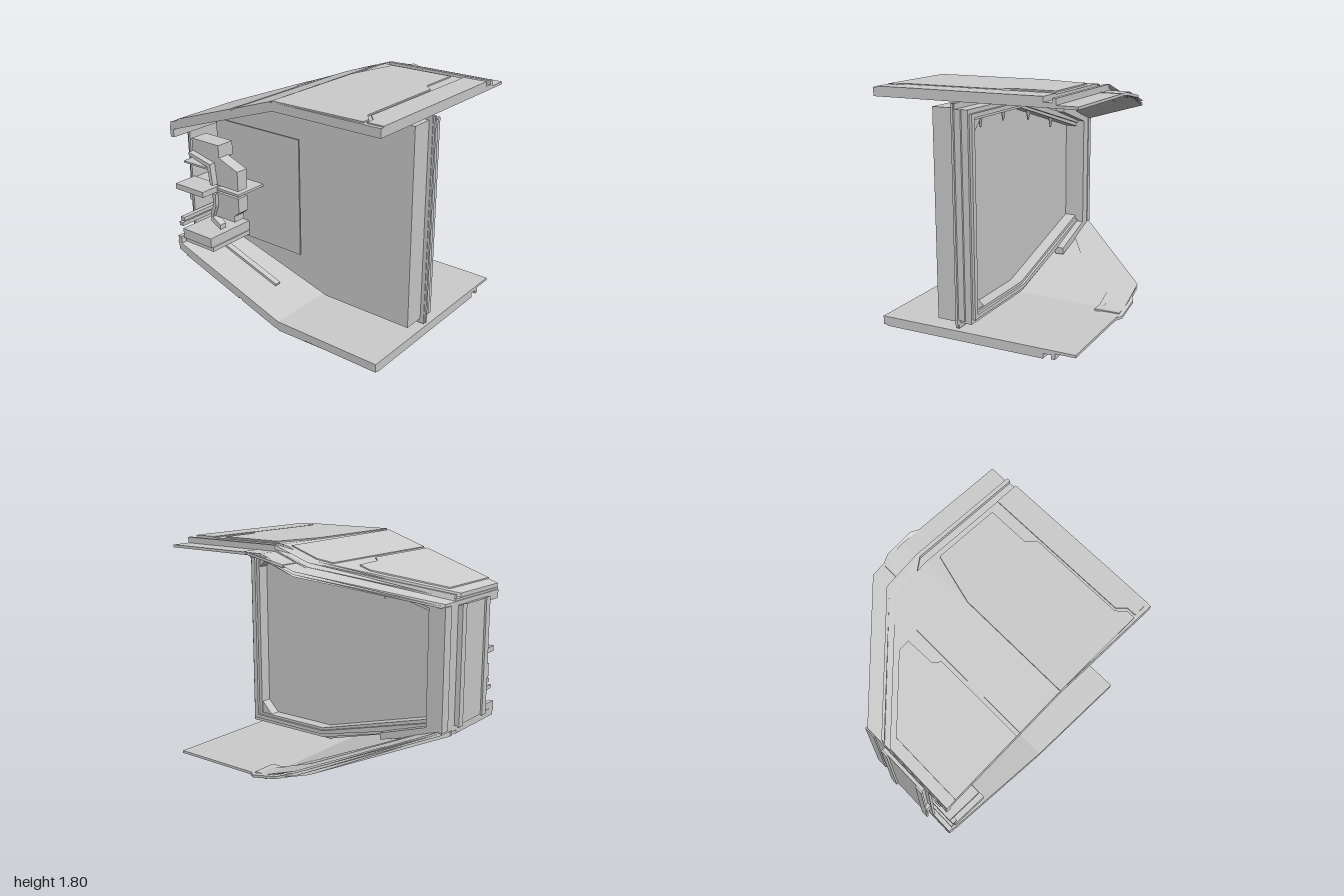
import * as THREE from 'three';

const mat = new THREE.MeshStandardMaterial({ color: 0xcccccc, side: THREE.DoubleSide });
const SLOPE = 0.335, RIDGE = 0.1, KNEE = -0.2;
const drop = x => Math.max(0, RIDGE - x) * SLOPE;   // fall of the roof towards -x
const cut = x => Math.max(0, KNEE - x);             // 45 degree cut of the rear corner

function add(group, name, geo) {
  const m = new THREE.Mesh(geo, mat);
  m.name = name;
  group.add(m);
  return m;
}

function box(group, name, x0, x1, y0, y1, z0, z1) {
  const m = add(group, name, new THREE.BoxGeometry(x1 - x0, y1 - y0, z1 - z0));
  m.position.set((x0 + x1) / 2, (y0 + y1) / 2, (z0 + z1) / 2);
  return m;
}

const shapeOf = pts => new THREE.Shape(pts.map(p => new THREE.Vector2(...p)));

// Outline in x, y extruded from z0 to z1
function slab(group, name, pts, z0, z1, hole) {
  const s = shapeOf(pts);
  if (hole) s.holes.push(new THREE.Path(hole.map(p => new THREE.Vector2(...p))));
  const g = new THREE.ExtrudeGeometry(s, { depth: z1 - z0, bevelEnabled: false });
  g.translate(0, 0, z0);
  return add(group, name, g);
}

// Folded sheet following the roof line, with the rear corner cut off
function layer(group, name, { x0, x1 = 1, y, t, back, width }) {
  const xs = [x0, KNEE, RIDGE, x1];
  const low = xs.map(x => [x, y - drop(x)]);
  const high = xs.map(x => [x, y + t - drop(x)]).reverse();
  const g = new THREE.ExtrudeGeometry(shapeOf([...low, ...high]), { depth: 1, bevelEnabled: false });
  const p = g.attributes.position;
  for (let i = 0; i < p.count; i++) {
    const b = back + cut(p.getX(i));
    p.setZ(i, p.getZ(i) < 0.5 ? b : (width ? b + width : 0.8));
  }
  g.computeVertexNormals();
  return add(group, name, g);
}

// Thin plan-shaped plate (x, z) lying on the roof surface
function plate(group, name, pts, y, t) {
  const g = new THREE.ExtrudeGeometry(shapeOf(pts.map(([x, z]) => [x, -z])), { depth: t, bevelEnabled: false });
  g.rotateX(-Math.PI / 2);
  const p = g.attributes.position;
  for (let i = 0; i < p.count; i++) p.setY(i, p.getY(i) + y - drop(p.getX(i)));
  g.computeVertexNormals();
  return add(group, name, g);
}

// Upper hull half: stacked sheets, rim and surface panels
function hullHalf(name) {
  const g = new THREE.Group();
  g.name = name;
  layer(g, 'innerShell', { x0: -0.96, y: 1.725, t: 0.02, back: -0.775 });
  layer(g, 'middleShell', { x0: -0.955, y: 1.745, t: 0.015, back: -0.62 });
  layer(g, 'outerShell', { x0: -0.95, y: 1.76, t: 0.03, back: -0.53 });
  layer(g, 'rearRim', { x0: -0.955, x1: 0.2, y: 1.71, t: 0.015, back: -0.775, width: 0.2 });
  layer(g, 'rearStep', { x0: -0.95, y: 1.755, t: 0.035, back: -0.62, width: 0.03 });
  plate(g, 'rimBump', [[-0.1, -0.77], [-0.03, -0.8], [0.2, -0.8], [0.26, -0.77], [0.26, -0.62], [-0.1, -0.62]], 1.73, 0.02);
  plate(g, 'sidePanel', [[-0.87, 0.8], [-0.87, 0.2], [-0.45, -0.22], [-0.36, -0.22], [-0.35, 0.02], [-0.3, 0.06], [-0.3, 0.8]], 1.79, 0.01);
  plate(g, 'ridgePanel', [[-0.27, 0.8], [-0.27, -0.42], [-0.18, -0.49], [0.05, -0.49], [0.08, 0.8]], 1.79, 0.008);
  plate(g, 'mainPanel', [[0.1, 0.8], [0.1, -0.1], [0.2, -0.49], [0.72, -0.49], [0.72, -0.16], [0.79, -0.1],
    [0.79, 0.65], [0.85, 0.72], [0.85, 0.78]], 1.79, 0.01);
  plate(g, 'edgeStrip', [[0.81, -0.53], [1, -0.53], [1, 0.77], [0.87, 0.77], [0.87, 0.7], [0.81, 0.64]], 1.79, 0.008);
  // brace lying on the inside of the slope
  const brace = box(g, 'slopeBrace', -0.32, 0.32, -0.01, 0.01, -0.025, 0.025);
  brace.position.set(-0.47, 1.715 - drop(-0.47), 0.5);
  brace.rotation.z = Math.atan(SLOPE);
  return g;
}

// Bulkhead outline, mirrored about mid height
function outline(left, right, yLeft, yTop, knee = 0.2) {
  const top = [[right, yTop], [knee, yTop], [left, yLeft]];
  return [...top, ...top.map(([x, y]) => [x, 1.8 - y]).reverse()];
}

function bulkhead() {
  const g = new THREE.Group();
  g.name = 'bulkhead';
  slab(g, 'innerWall', outline(-0.93, 0.955, 1.36, 1.675), 0.17, 0.34);
  slab(g, 'wallFlange', outline(-0.95, 0.985, 1.38, 1.71), 0.145, 0.17);
  slab(g, 'rearFrame', outline(-0.95, 0.97, 1.37, 1.67), 0.05, 0.15, outline(-0.84, 0.88, 1.3, 1.59));
  slab(g, 'rearFrameLip', outline(-0.92, 0.95, 1.36, 1.64), 0.03, 0.05, outline(-0.87, 0.91, 1.32, 1.61));
  // deeper rear end of the frame, on the narrow side
  const end = [[-0.42, 1.535], [-0.95, 1.385], [-0.95, 0.415], [-0.42, 0.265], [-0.42, 0.32], [-0.83, 0.45], [-0.83, 1.35], [-0.42, 1.48]];
  slab(g, 'frameEnd', end, -0.025, 0.05);
  // wide side post
  box(g, 'edgePost', 0.955, 0.985, 0.15, 1.67, 0.1, 0.145);
  box(g, 'edgeFin', 0.98, 1, 0.1, 1.71, 0.148, 0.165);
  for (const s of [-1, 1]) {
    const gusset = slab(g, 'cornerGusset', [[0.88, 0.69], [0.78, 0.69], [0.88, 0.59]], 0.06, 0.15);
    gusset.scale.y = s;
    gusset.position.y = 0.9;
  }
  // tapered pegs under the top of the frame
  for (const x of [0.75, 0.42, 0.02, -0.38]) {
    const peg = add(g, 'framePeg', new THREE.CylinderGeometry(0.02, 0.006, 0.08, 4));
    peg.position.set(x, 1.56 - Math.max(0, 0.2 - x) * 0.28, 0.08);
  }
  box(g, 'consoleBackboard', -0.9, -0.04, 0.42, 1.37, 0.36, 0.37);
  return g;
}

function sideWall() {
  const g = new THREE.Group();
  g.name = 'sideWall';
  box(g, 'sidePanel', -0.96, -0.94, 0.42, 1.38, 0, 0.62);
  box(g, 'sideRearPost', -0.97, -0.92, 0.43, 1.37, -0.03, 0.06);
  for (const y of [0.42, 1.32]) box(g, 'sideRail', -0.955, -0.92, y, y + 0.06, 0, 0.8);
  // raised outer panel with ribs along both edges
  box(g, 'outerPanel', -0.985, -0.96, 0.44, 1.36, 0.17, 0.58);
  for (const z of [0.17, 0.53]) box(g, 'outerRib', -1, -0.985, 0.43, 1.37, z, z + 0.06);
  box(g, 'latch', -1, -0.96, 0.72, 0.84, 0.58, 0.61);
  return g;
}

function consoleUnit() {
  const g = new THREE.Group();
  g.name = 'console';
  // upper hood and cabinets
  slab(g, 'upperHood', [[-0.6, 1.17], [-0.6, 1.28], [-0.89, 1.28], [-0.89, 1.17], [-0.68, 1.12]], 0.5, 0.65);
  slab(g, 'upperCabinet', [[-0.66, 0.95], [-0.41, 0.95], [-0.41, 1.11], [-0.6, 1.18], [-0.68, 1.12]], 0.55, 0.65);
  slab(g, 'upperScreenFrame', [[-0.88, 1.15], [-0.68, 1.1], [-0.66, 0.96], [-0.63, 0.96], [-0.65, 1.13], [-0.88, 1.18]], 0.65, 0.7);
  slab(g, 'lowerCabinet', [[-0.41, 0.89], [-0.41, 0.77], [-0.46, 0.73], [-0.46, 0.68], [-0.67, 0.68], [-0.64, 0.78], [-0.66, 0.89]], 0.55, 0.65);
  slab(g, 'lowerScreenFrame', [[-0.66, 0.88], [-0.63, 0.88], [-0.63, 0.78], [-0.67, 0.68], [-0.59, 0.63], [-0.59, 0.59], [-0.69, 0.64], [-0.69, 0.71], [-0.66, 0.78]], 0.62, 0.68);
  // desk shelves
  box(g, 'deskShelf', -0.94, -0.41, 0.905, 0.925, 0.37, 0.65);
  box(g, 'deskFront', -0.94, -0.64, 0.89, 0.935, 0.6, 0.8);
  box(g, 'upperShelf', -0.94, -0.68, 1.08, 1.095, 0.5, 0.7);
  // lower bench with rails
  box(g, 'bench', -0.89, -0.58, 0.48, 0.56, 0.37, 0.8);
  box(g, 'benchBase', -0.89, -0.58, 0.44, 0.475, 0.37, 0.78);
  for (const [x, y] of [[-0.93, 0.58], [-0.91, 0.63]]) box(g, 'benchRail', x, x + 0.04, y, y + 0.03, 0.37, 0.8);
  return g;
}

export function createModel() {
  const model = new THREE.Group();
  model.name = 'hullSection';
  const floor = hullHalf('floor');
  floor.scale.y = -1;
  floor.position.y = 1.8;
  model.add(hullHalf('roof'), floor, bulkhead(), sideWall(), consoleUnit());
  return model;
}
